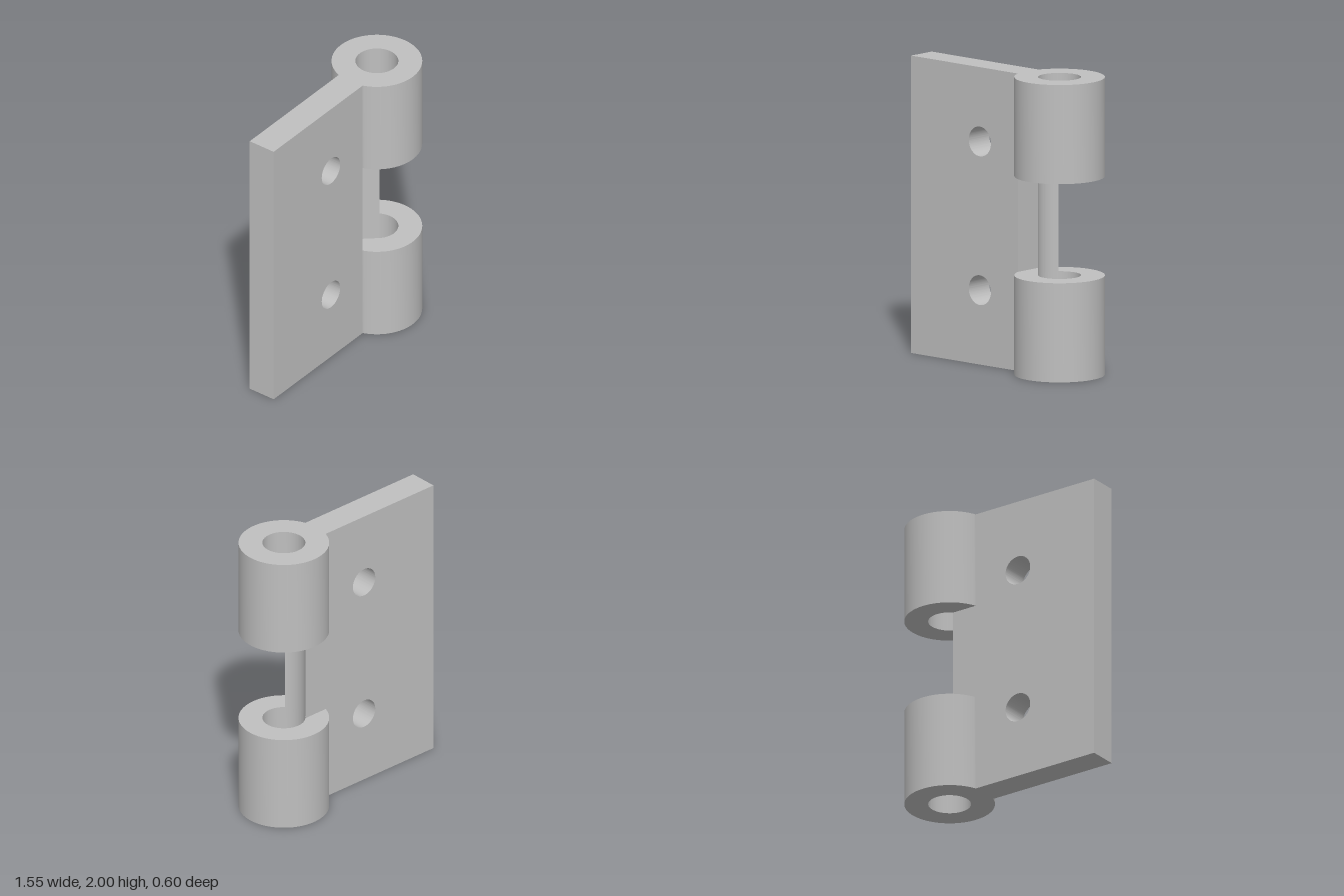
import * as THREE from 'three';
import { toCreasedNormals } from 'three/addons/utils/BufferGeometryUtils.js';

const HEIGHT = 2, THIRD = HEIGHT / 3;
const LEFT = -0.773, HALF = 0.1;            // plate edge and half thickness
const PIN_X = 0.473, OUTER = 0.3, BORE = 0.142;
const JOIN = PIN_X - Math.sqrt(OUTER ** 2 - HALF ** 2); // where plate meets knuckle

function extrude(shape, depth) {
  return new THREE.ExtrudeGeometry(shape, { depth, bevelEnabled: false, curveSegments: 64 });
}

// Extrude a plan outline upwards from y = bottom
function extrudeUp(shape, bottom, height) {
  return extrude(shape, height).rotateX(-Math.PI / 2).translate(0, bottom, 0);
}

export function createModel() {
  const group = new THREE.Group();
  group.name = 'hingeLeaf';
  const steel = new THREE.MeshStandardMaterial({ color: 0xbfbfbf });
  steel.name = 'grey steel';

  const add = (name, geometry) => {
    const mesh = new THREE.Mesh(toCreasedNormals(geometry, 0.5), steel);
    mesh.name = name;
    group.add(mesh);
  };

  // Flat leaf with two screw holes
  const leaf = new THREE.Shape();
  leaf.moveTo(LEFT, 0).lineTo(JOIN, 0).lineTo(JOIN, HEIGHT).lineTo(LEFT, HEIGHT).closePath();
  for (const y of [0.5, 1.5]) {
    leaf.holes.push(new THREE.Path().absarc(-0.153, y, 0.1, 0, Math.PI * 2, true));
  }
  add('leafPlate', extrude(leaf, HALF * 2).translate(0, 0, -HALF));

  // Knuckles: bored cylinders with a flat where they join the leaf
  const a = Math.PI - Math.asin(HALF / OUTER);
  const ring = new THREE.Shape();
  ring.absarc(PIN_X, 0, OUTER, -a, a, false).closePath();
  ring.holes.push(new THREE.Path().absarc(PIN_X, 0, BORE, 0, Math.PI * 2, true));
  add('lowerKnuckle', extrudeUp(ring, 0, THIRD));
  add('upperKnuckle', extrudeUp(ring, THIRD * 2, THIRD));

  // Middle web, its edge hollowed to the curve of the bore
  const b = Math.PI - Math.asin(HALF / BORE);
  const web = new THREE.Shape();
  web.moveTo(JOIN, -HALF);
  web.absarc(PIN_X, 0, BORE, -b, b, true);
  web.lineTo(JOIN, HALF).closePath();
  add('middleWeb', extrudeUp(web, THIRD, THIRD));

  return group;
}
